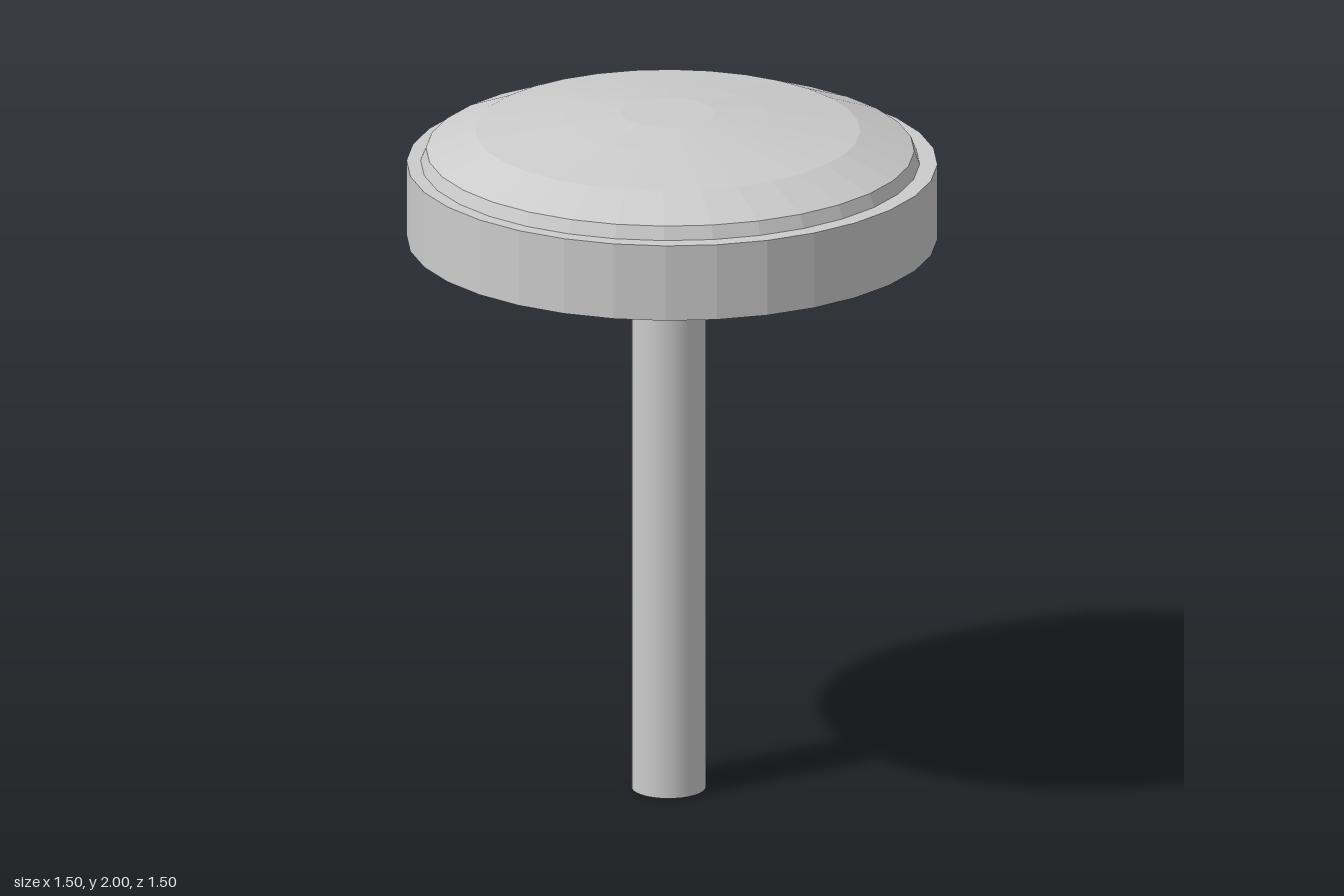
import * as THREE from 'three';

const SIDES = 32;

export function createModel() {
  const group = new THREE.Group();
  const flat = new THREE.MeshStandardMaterial({ color: 0xcccccc, flatShading: true });
  const smooth = new THREE.MeshStandardMaterial({ color: 0xcccccc });

  function add(name, geometry, material, x, y, z) {
    const mesh = new THREE.Mesh(geometry, material);
    mesh.name = name;
    mesh.position.set(x, y, z);
    group.add(mesh);
  }

  // Round post
  const stemTop = 1.635;
  add('stem', new THREE.CylinderGeometry(0.105, 0.105, stemTop, SIDES), smooth, -0.01, stemTop / 2, 0);

  // Thick faceted disc
  add('rimDisc', new THREE.CylinderGeometry(0.748, 0.748, 0.222, SIDES), flat, 0, 1.741, 0);

  // Shallow domed cap: short steep lip, then flattening rings
  const profile = [[0.704, 1.85], [0.688, 1.89], [0.543, 1.948], [0.29, 1.983], [0.131, 2], [0, 2]]
    .map(([r, y]) => new THREE.Vector2(r, y));
  const dome = new THREE.LatheGeometry(profile, SIDES);

  // The upper rings sit slightly off centre
  const pos = dome.attributes.position;
  for (let i = 0; i < pos.count; i++) {
    if (pos.getY(i) > 1.92) pos.setX(i, pos.getX(i) - 0.008);
  }
  add('domedCap', dome, flat, -0.004, 0, -0.004);

  return group;
}
